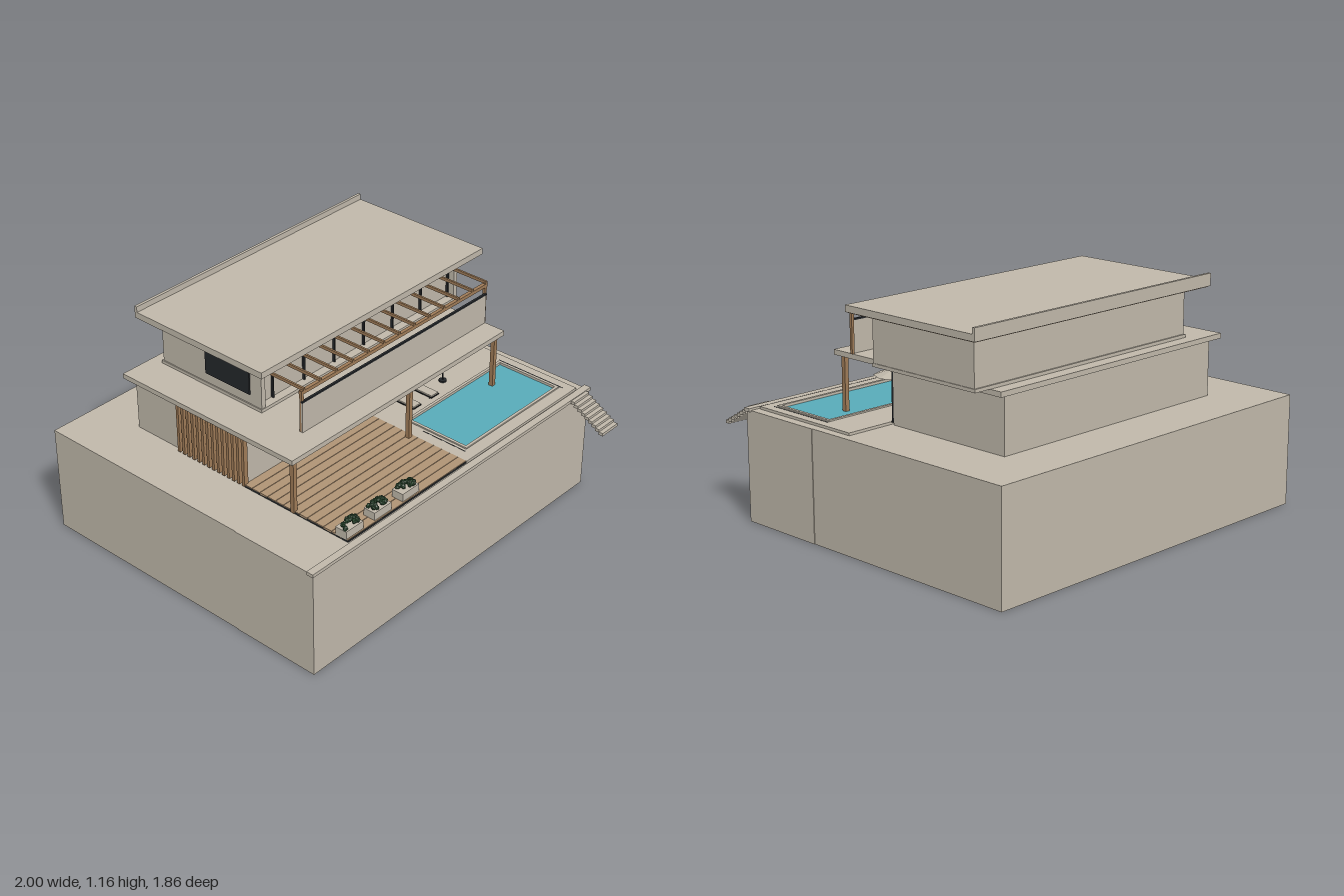
import * as THREE from 'three';

const mat = (name, color) => {
  const m = new THREE.MeshStandardMaterial({ color });
  m.name = name;
  return m;
};

export function createModel() {
  const root = new THREE.Group();
  root.name = 'terraceHouse';
  const concrete = mat('concrete', 0xc1b9ab);
  const deckWood = mat('deckWood', 0xb09475);
  const wood = mat('wood', 0xa07c58);
  const dark = mat('darkMetal', 0x24272a);
  const water = mat('water', 0x58acba);
  const green = mat('foliage', 0x2c4a30);

  const add = (name, geo, material, parent = root) => {
    const mesh = new THREE.Mesh(geo, material);
    mesh.name = name;
    parent.add(mesh);
    return mesh;
  };
  // Box from its limits on each axis
  const box = (name, m, [x0, x1], [y0, y1], [z0, z1], parent = root) => {
    const mesh = add(name, new THREE.BoxGeometry(x1 - x0, y1 - y0, z1 - z0), m, parent);
    mesh.position.set((x0 + x1) / 2, (y0 + y1) / 2, (z0 + z1) / 2);
    return mesh;
  };
  // Flat slab with a rectangular opening, lying in xz
  const frameSlab = (name, m, [x0, x1], [z0, z1], [hx0, hx1], [hz0, hz1], y0, y1) => {
    const rect = (S, a, b, c, d) => {
      const s = new S();
      s.moveTo(a, c); s.lineTo(b, c); s.lineTo(b, d); s.lineTo(a, d); s.closePath();
      return s;
    };
    const s = rect(THREE.Shape, x0, x1, z0, z1);
    s.holes.push(rect(THREE.Path, hx0, hx1, hz0, hz1));
    const g = new THREE.ExtrudeGeometry(s, { depth: y1 - y0, bevelEnabled: false });
    g.rotateX(Math.PI / 2);
    add(name, g, m).position.y = y1;
  };

  // Plinth with a low front curb
  box('plinthRear', concrete, [-0.988, 0.988], [0, 0.55], [-0.93, 0.265]);
  box('plinthFront', concrete, [-0.991, 0.991], [0, 0.55], [0.265, 0.73]);
  box('frontCurb', concrete, [-1, 1], [0.543, 0.56], [0.7, 0.737]);

  // Terrace, pool and planked deck
  frameSlab('terrace', concrete, [0.095, 0.945], [0.06, 0.69], [0.185, 0.875], [0.275, 0.612], 0.55, 0.563);
  frameSlab('poolCoping', concrete, [0.17, 0.89], [0.26, 0.627], [0.185, 0.875], [0.275, 0.612], 0.56, 0.57);
  box('poolWater', water, [0.18, 0.88], [0.549, 0.557], [0.27, 0.617]);
  box('terraceJointLeft', dark, [0.152, 0.156], [0.56, 0.564], [0.38, 0.635]);
  box('terraceJointRight', dark, [0.898, 0.902], [0.56, 0.564], [0.25, 0.64]);
  box('deckGap', dark, [-0.72, 0.095], [0.55, 0.56], [0.06, 0.687]);
  const planks = 13, pitch = 0.627 / planks;
  for (let i = 0; i < planks; i++) {
    const z = 0.06 + i * pitch;
    box('deckPlank', deckWood, [-0.72, 0.095], [0.555, 0.564], [z + 0.0015, z + pitch - 0.0015]);
  }

  // Outside stair
  for (let i = 0; i < 9; i++) {
    const z = 0.732 + i * 0.022, y = 0.556 - i * 0.0128;
    box('stairTread', concrete, [0.84, 0.962], [y - 0.016, y], [z, z + 0.024]);
  }

  // Ground floor
  box('groundFloor', concrete, [-0.7, 0.69], [0.55, 0.83], [-0.655, 0.045]);
  box('groundFrontWall', concrete, [-0.7, -0.445], [0.55, 0.83], [0.045, 0.06]);
  box('glazingHead', dark, [-0.445, 0.69], [0.808, 0.818], [0.045, 0.06]);
  box('glazingSill', dark, [-0.445, 0.69], [0.56, 0.566], [0.045, 0.06]);
  for (let i = 0; i < 7; i++) {
    const x = -0.438 + i * 0.1865, w = i % 6 ? 0.003 : 0.006;
    box('glazingMullion', dark, [x - w, x + w], [0.56, 0.815], [0.045, 0.06]);
  }
  for (let i = 0; i < 14; i++) {
    const z = -0.365 + i * 0.032;
    box('sideSlat', wood, [-0.725, -0.7], [0.555, 0.83], [z, z + 0.015]);
  }
  for (const x of [-0.715, 0.07, 0.7])
    box('porchPost', wood, [x - 0.011, x + 0.011], [0.555, 0.83], [0.35, 0.372]);
  box('lowerRoof', concrete, [-0.748, 0.743], [0.829, 0.854], [-0.688, 0.387]);

  // Upper floor, overhanging on the left
  box('upperFloorSlab', concrete, [-0.56, 0.834], [0.854, 0.87], [-0.623, 0.024]);
  box('upperFloor', concrete, [-0.555, 0.83], [0.87, 1.1], [-0.615, -0.02]);
  box('upperWallLeft', concrete, [0.805, 0.83], [0.87, 1.1], [-0.02, 0.02]);
  box('upperWallRight', concrete, [-0.555, -0.53], [0.87, 1.1], [-0.02, 0.02]);
  for (let i = 0; i < 7; i++) {
    const x = -0.448 + i * 0.2075;
    box('upperMullion', dark, [x - 0.004, x + 0.004], [0.87, 1.1], [-0.02, -0.008]);
  }
  box('upperGlazingHead', dark, [-0.53, 0.805], [1.09, 1.1], [-0.02, -0.008]);
  box('sideWindow', dark, [-0.562, -0.555], [0.92, 1.04], [-0.33, -0.05]);

  // Balcony front with dark handrail
  box('balconyFront', concrete, [-0.555, 0.742], [0.854, 1.008], [0.262, 0.27]);
  box('balconyRail', dark, [-0.557, 0.744], [1.008, 1.016], [0.26, 0.272]);

  // Pergola
  for (const x of [-0.548, 0.742])
    box('pergolaPost', wood, [x - 0.007, x + 0.007], [0.854, 1.07], [0.252, 0.266]);
  box('pergolaBeam', wood, [-0.557, 0.752], [1.05, 1.068], [0.25, 0.268]);
  for (let i = 0; i < 13; i++) {
    const x = -0.54 + i * 0.107;
    box('pergolaRafter', wood, [x - 0.005, x + 0.005], [1.066, 1.081], [-0.02, 0.268]);
  }

  // Main roof, timber soffit and rear upstand
  box('mainRoof', concrete, [-0.638, 0.914], [1.102, 1.134], [-0.703, 0.105]);
  box('roofSoffit', deckWood, [-0.628, 0.904], [1.097, 1.102], [-0.693, 0.095]);
  box('roofUpstand', concrete, [-0.638, 0.914], [1.134, 1.163], [-0.703, -0.688]);

  // Planters with clustered shrubs
  let seed = 7;
  const rand = () => (seed = (seed * 16807) % 2147483647) / 2147483647;
  const leaf = new THREE.IcosahedronGeometry(0.016, 0);
  for (const x of [-0.667, -0.48, -0.29]) {
    const planter = new THREE.Group();
    planter.name = 'planter';
    planter.position.set(x, 0.562, 0.647);
    root.add(planter);
    box('planterBox', concrete, [-0.056, 0.056], [0, 0.041], [-0.032, 0.032], planter);
    for (let i = 0; i < 26; i++) {
      const u = rand() * 2 - 1, w = rand() * 2 - 1;
      const clump = add('shrub', leaf, green, planter);
      clump.position.set(u * 0.045, 0.043 + 0.024 * (1 - u * u * 0.6) * (1 - w * w * 0.6), w * 0.02);
      clump.rotation.set(rand() * 3, rand() * 3, 0);
      clump.scale.set(1, 0.75, 0.75);
    }
  }

  // Parasol
  add('parasolPole', new THREE.CylinderGeometry(0.003, 0.003, 0.2, 8), dark).position.set(0.56, 0.66, 0.165);
  add('parasolBase', new THREE.CylinderGeometry(0.02, 0.02, 0.008, 12), dark).position.set(0.56, 0.567, 0.165);
  const canopyMat = concrete.clone();
  canopyMat.side = THREE.DoubleSide;
  const canopy = add('parasolCanopy', new THREE.ConeGeometry(0.107, 0.034, 8, 1, true).toNonIndexed(), canopyMat);
  canopy.geometry.computeVertexNormals();
  canopy.position.set(0.56, 0.757, 0.165);

  // Sun loungers
  for (const x of [0.285, 0.418]) {
    box('loungerFrame', dark, [x - 0.028, x + 0.028], [0.57, 0.575], [0.075, 0.235]);
    box('loungerCushion', concrete, [x - 0.025, x + 0.025], [0.575, 0.582], [0.078, 0.232]);
    for (const dx of [-0.023, 0.023]) for (const z of [0.09, 0.22])
      box('loungerLeg', dark, [x + dx - 0.003, x + dx + 0.003], [0.56, 0.572], [z - 0.003, z + 0.003]);
  }

  return root;
}
